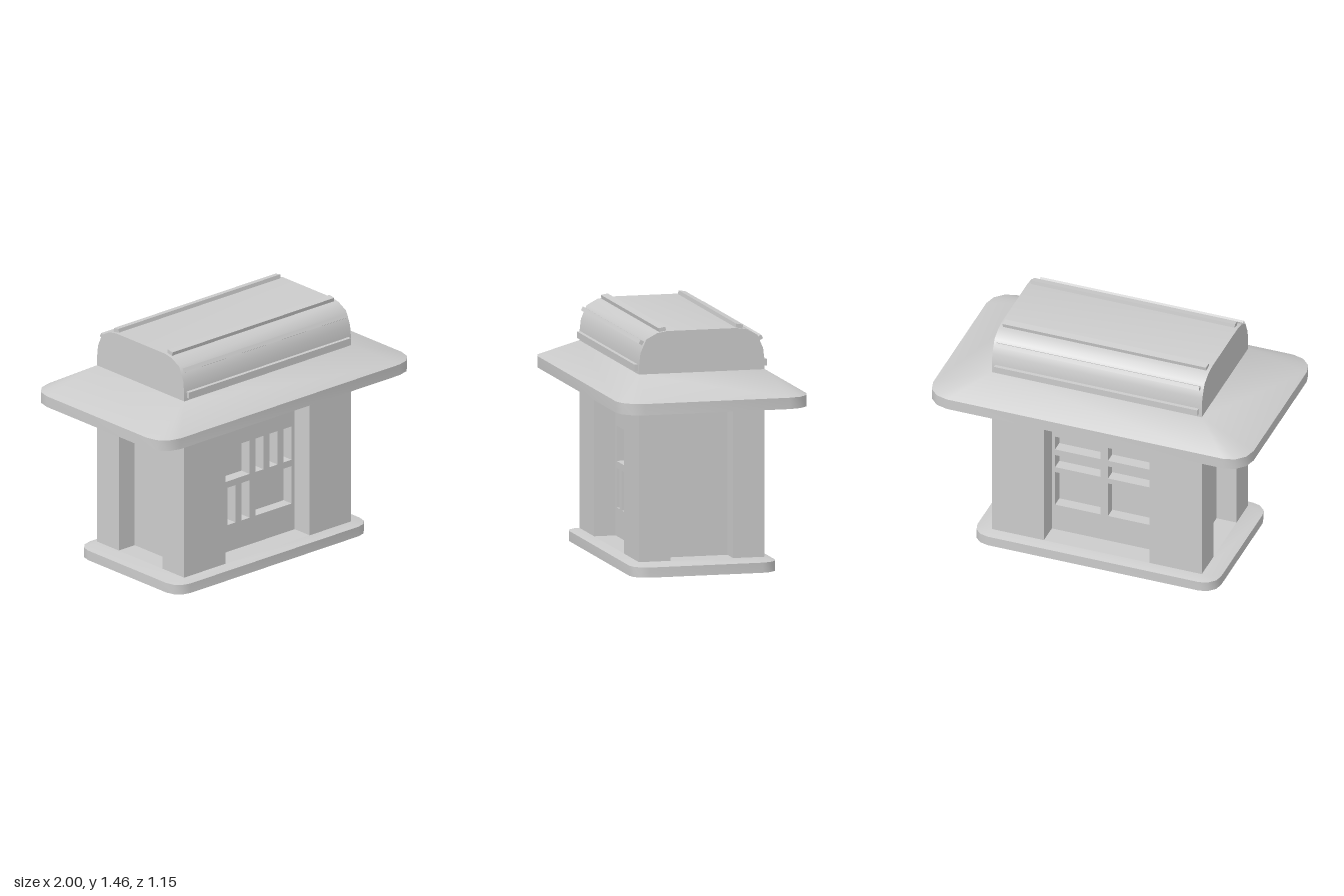
import * as THREE from 'three';
import { mergeGeometries, toCreasedNormals } from 'three/addons/utils/BufferGeometryUtils.js';

const material = new THREE.MeshStandardMaterial({ color: 0xcccccc });

function addMesh(parent, name, geometry) {
  const mesh = new THREE.Mesh(geometry, material);
  mesh.name = name;
  parent.add(mesh);
  return mesh;
}

function addBox(parent, name, [w, h, d], [x, y, z]) {
  const mesh = addMesh(parent, name, new THREE.BoxGeometry(w, h, d));
  mesh.position.set(x, y, z);
  return mesh;
}

// Rectangle outline in x/z with corners rounded in three steps
function ring(hx, hz, r) {
  const points = [];
  [[1, 1], [-1, 1], [-1, -1], [1, -1]].forEach(([sx, sz], quarter) => {
    for (let i = 0; i <= 3; i++) {
      const a = (quarter + i / 3) * Math.PI / 2;
      points.push(new THREE.Vector2(sx * (hx - r) + r * Math.cos(a), sz * (hz - r) + r * Math.sin(a)));
    }
  });
  return points;
}

// Wall between two outlines, smooth around the corners
function band(lower, y0, upper, y1) {
  const pos = [];
  const n = lower.length;
  for (let i = 0; i < n; i++) {
    const j = (i + 1) % n;
    const a = [lower[i].x, y0, lower[i].y], b = [lower[j].x, y0, lower[j].y];
    const c = [upper[j].x, y1, upper[j].y], d = [upper[i].x, y1, upper[i].y];
    pos.push(...a, ...c, ...b);
    if (upper[i].distanceTo(upper[j]) > 1e-5) pos.push(...a, ...d, ...c);
  }
  const g = new THREE.BufferGeometry();
  g.setAttribute('position', new THREE.Float32BufferAttribute(pos, 3));
  return toCreasedNormals(g, 0.8);
}

function cap(points, y, up) {
  const g = new THREE.ShapeGeometry(new THREE.Shape(points)).toNonIndexed();
  g.deleteAttribute('uv');
  return g.rotateX(up ? -Math.PI / 2 : Math.PI / 2).translate(0, y, 0);
}

// Slab with rounded corners and a top sloping in to the body's rectangle
function slopedSlab(hx, hz, r, y0, y1, y2) {
  const outer = ring(hx, hz, r), inner = ring(0.655, 0.38, 0);
  const top = [[0.655, 0.38], [-0.655, 0.38], [-0.655, -0.38], [0.655, -0.38]].map(p => new THREE.Vector2(...p));
  return mergeGeometries([
    cap(outer, y0, false), band(outer, y0, outer, y1), band(outer, y1, inner, y2), cap(top, y2, true)
  ]);
}

// Wall panel pierced by windows given as [x0, x1, y0, y1]
function latticePanel(windows) {
  const rect = (path, x0, x1, y0, y1) =>
    path.moveTo(x0, y0).lineTo(x1, y0).lineTo(x1, y1).lineTo(x0, y1).closePath();
  const shape = rect(new THREE.Shape(), -0.33, 0.33, 0.07, 1.0);
  windows.forEach(w => shape.holes.push(rect(new THREE.Path(), ...w)));
  return new THREE.ExtrudeGeometry(shape, { depth: 0.07, bevelEnabled: false });
}

export function createModel() {
  const model = new THREE.Group();
  model.name = 'lantern';

  addMesh(model, 'base', slopedSlab(0.76, 0.44, 0.1, 0, 0.06, 0.077));
  addMesh(model, 'eaves', slopedSlab(1, 0.576, 0.14, 1.0, 1.067, 1.185));

  // Body: core, recessed side walls and corner pillars
  addBox(model, 'core', [0.8, 0.93, 0.36], [0, 0.535, 0]);
  for (const sx of [1, -1]) {
    addBox(model, 'sideWall', [0.2, 0.93, 0.4], [sx * 0.43, 0.535, 0]);
    for (const sz of [1, -1]) {
      addBox(model, 'cornerPillar', [0.325, 0.93, 0.19], [sx * 0.4925, 0.535, sz * 0.285]);
    }
  }

  // Front lattice: a wide window and three slots, swapped in the lower row
  const frontWindows = [[-0.31, -0.025, 0.52, 0.73], [0.02, 0.305, 0.245, 0.48]];
  for (let i = 0; i < 3; i++) {
    const step = i * 0.11;
    frontWindows.push([0.02 + step, 0.085 + step, 0.52, 0.73]);
    frontWindows.push([-0.31 + step, -0.245 + step, 0.245, 0.48]);
  }
  addMesh(model, 'frontLattice', latticePanel(frontWindows)).position.z = 0.18;

  // Back lattice: two columns of two low windows over a tall one
  const backWindows = [];
  for (const [y0, y1] of [[0.64, 0.73], [0.515, 0.6], [0.25, 0.48]]) {
    backWindows.push([-0.31, -0.025, y0, y1], [0.02, 0.305, y0, y1]);
  }
  const back = addMesh(model, 'backLattice', latticePanel(backWindows));
  back.position.z = -0.18;
  back.rotation.y = Math.PI;

  // Rounded roof, extruded along x
  const half = [[0.38, 1.17], [0.38, 1.23], [0.371, 1.31], [0.336, 1.39], [0.27, 1.425], [0.21, 1.435]];
  const profile = [...half, ...half.slice().reverse().map(([z, y]) => [-z, y])];
  const roof = new THREE.ExtrudeGeometry(
    new THREE.Shape(profile.map(p => new THREE.Vector2(...p))), { depth: 1.31, bevelEnabled: false });
  roof.translate(0, 0, -0.655).rotateY(Math.PI / 2);
  addMesh(model, 'roof', toCreasedNormals(roof, 0.8));

  // Roof strips: z, y, width, tilt
  const strips = [[0.389, 1.222, 0.038, Math.PI / 2], [0.36, 1.37, 0.025, 1.05], [0.233, 1.442, 0.042, 0.17]];
  for (const side of [1, -1]) {
    for (const [z, y, width, tilt] of strips) {
      addBox(model, 'roofStrip', [1.27, 0.024, width], [0, y, side * z]).rotation.x = side * tilt;
    }
  }
  return model;
}
